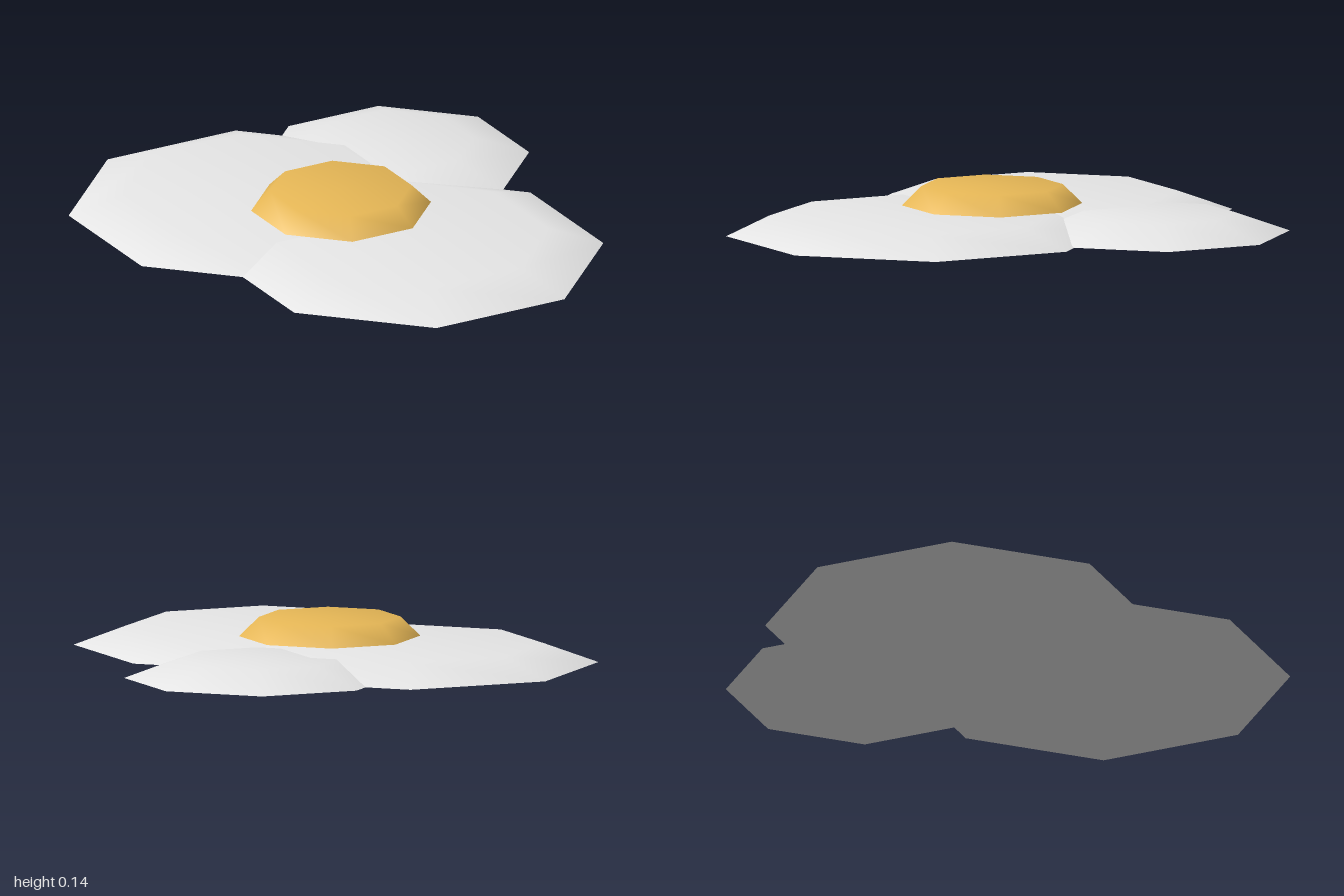
import * as THREE from 'three';

const SIDES = 8;
const TURN = 0.18; // shared twist of every octagon, from +x towards +z

// Smooth-shaded eight-sided mound with a flat top and a flat underside
function mound(name, material, x, y, z, bottomRadius, topRadius, height) {
  const group = new THREE.Group();
  group.name = name;
  const profile = [
    new THREE.Vector2(bottomRadius, 0),
    new THREE.Vector2(topRadius, height),
    new THREE.Vector2(0, height),
  ];
  const dome = new THREE.Mesh(new THREE.LatheGeometry(profile, SIDES, -TURN), material);
  dome.name = name + 'Top';
  const base = new THREE.Mesh(
    new THREE.CircleGeometry(bottomRadius, SIDES, TURN).rotateX(Math.PI / 2),
    material
  );
  base.name = name + 'Underside';
  group.add(dome, base);
  group.position.set(x, y, z);
  return group;
}

export function createModel() {
  const white = new THREE.MeshStandardMaterial({ color: 0xffffff });
  white.name = 'eggWhite';
  const yellow = new THREE.MeshStandardMaterial({ color: 0xffcb60 });
  yellow.name = 'yolkYellow';

  const egg = new THREE.Group();
  egg.name = 'friedEgg';

  // Egg white: three overlapping lobes, tops a hair apart so they never flicker
  egg.add(mound('backLobe', white, -0.2, 0, -0.256, 0.695, 0.497, 0.07));
  egg.add(mound('frontLobe', white, 0.197, 0, 0.315, 0.695, 0.497, 0.0695));
  egg.add(mound('smallLobe', white, 0.396, 0, -0.52, 0.487, 0.289, 0.069));

  // Yolk
  egg.add(mound('yolk', yellow, 0.03, 0.07, -0.01, 0.327, 0.256, 0.07));
  return egg;
}
